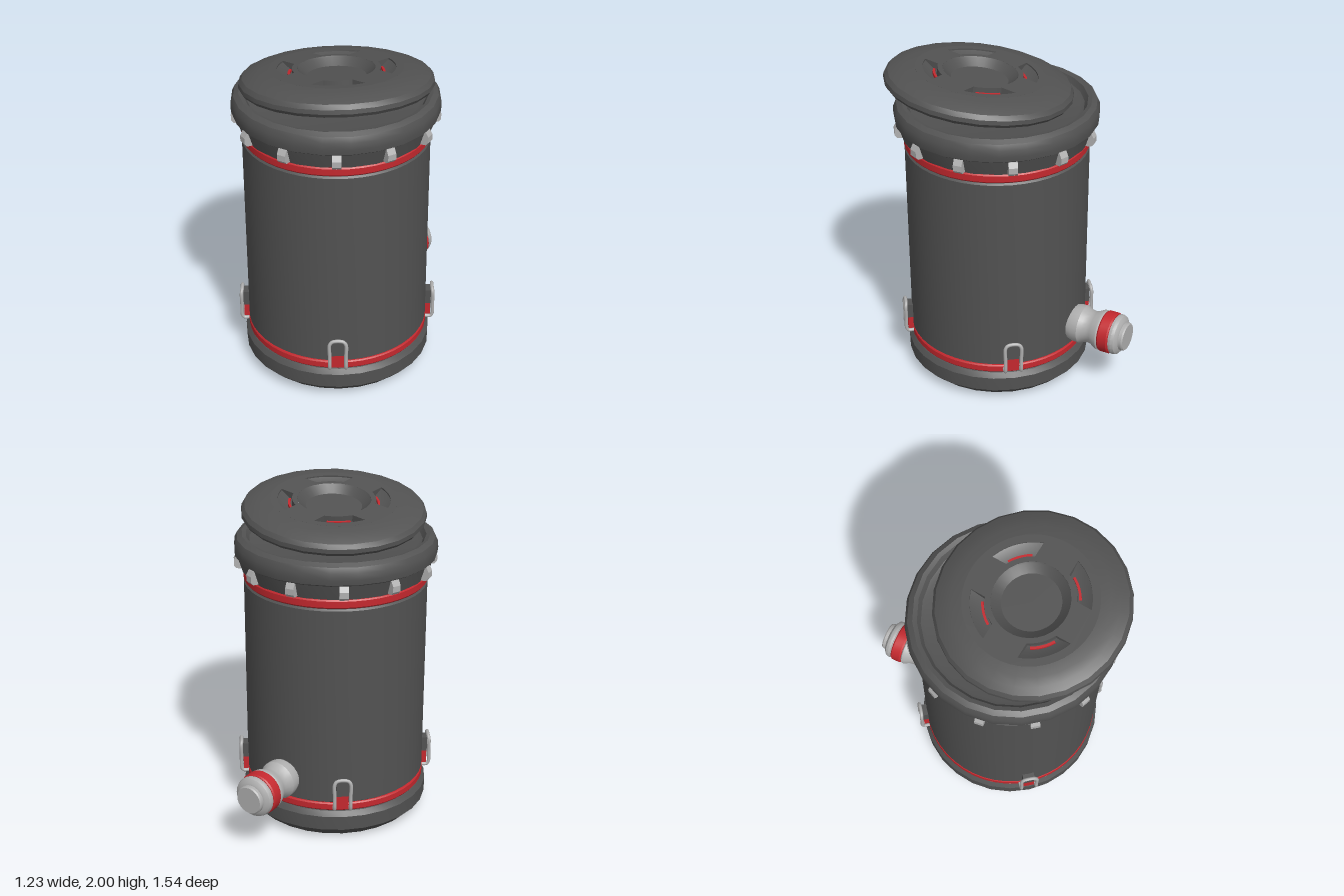
import * as THREE from 'three';
import { toCreasedNormals } from 'three/addons/utils/BufferGeometryUtils.js';

const material = (color) => new THREE.MeshStandardMaterial({ color });
const DEG = Math.PI / 180;

export function createModel() {
  const dark = material(0x525252);
  const red = material(0xc4282e);
  const silver = material(0xb0b0b0);

  const root = new THREE.Group();
  root.name = 'canister';

  const add = (parent, name, geometry, mat) => {
    const mesh = new THREE.Mesh(geometry, mat);
    mesh.name = name;
    parent.add(mesh);
    return mesh;
  };
  // Turned part from [radius, height] pairs, listed from the bottom up
  const turned = (pairs, segments, start = 0, length = Math.PI * 2) => toCreasedNormals(
    new THREE.LatheGeometry(pairs.map(([r, y]) => new THREE.Vector2(r, y)), segments, start, length), 0.5);
  // Group whose local +x points outward at an angle measured from +z towards +x
  const radial = (parent, name, degrees) => {
    const group = new THREE.Group();
    group.name = name;
    group.rotation.y = (degrees - 90) * DEG;
    parent.add(group);
    return group;
  };

  // Drum: everything that shares the upright axis
  const drum = new THREE.Group();
  drum.name = 'drum';
  drum.position.set(-0.01, 0, 0.13);
  root.add(drum);

  add(drum, 'base', turned([
    [0, 0], [0.495, 0], [0.515, 0.015], [0.57, 0.07], [0.572, 0.16], [0.55, 0.19], [0.538, 0.195],
  ], 28), dark);
  add(drum, 'body', turned([
    [0.538, 0.19], [0.538, 0.247], [0.55, 0.255], [0.55, 1.485], [0.54, 1.495], [0.54, 1.56],
  ], 48), dark);
  for (const [name, y0, y1] of [['lowerBand', 0.195, 0.245], ['upperBand', 1.5, 1.553]]) {
    add(drum, name, turned([
      [0.535, y0], [0.546, y0], [0.552, y0 + 0.008], [0.552, y1 - 0.008], [0.546, y1], [0.535, y1],
    ], 48), red);
  }
  add(drum, 'rim', turned([
    [0.53, 1.555], [0.56, 1.56], [0.588, 1.65], [0.603, 1.66], [0.607, 1.69], [0.605, 1.73], [0.59, 1.762],
    [0.56, 1.78], [0.535, 1.772], [0.515, 1.74], [0.49, 1.73], [0, 1.73],
  ], 24), dark);

  // Wedge cleats under the rim
  const wedge = new THREE.Shape([
    [0.545, 1.565], [0.592, 1.568], [0.607, 1.585], [0.607, 1.62], [0.59, 1.65], [0.545, 1.65],
  ].map(([x, y]) => new THREE.Vector2(x, y)));
  const cleat = new THREE.ExtrudeGeometry(wedge, { depth: 0.052, bevelEnabled: false }).translate(0, 0, -0.026);
  for (let i = 0; i < 12; i++) add(radial(drum, 'cleatMount', 7.5 + i * 30), 'cleat', cleat, silver);

  // Wire clips at the foot of the body
  const half = [[0.54, 0.222, 0.048], [0.582, 0.222, 0.048], [0.593, 0.238, 0.048], [0.593, 0.31, 0.048],
    [0.593, 0.395, 0.048], [0.59, 0.415, 0.032]];
  const path = [...half, ...half.map(([x, y, z]) => [x, y, -z]).reverse()];
  const wire = new THREE.TubeGeometry(
    new THREE.CatmullRomCurve3(path.map((p) => new THREE.Vector3(...p))), 60, 0.011, 8);
  for (let i = 0; i < 4; i++) {
    const clip = radial(drum, 'clip', 37.5 + i * 90);
    add(clip, 'clipWire', wire, silver);
    add(clip, 'clipTab', new THREE.BoxGeometry(0.04, 0.085, 0.074), red).position.set(0.56, 0.265, 0);
    add(clip, 'clipPlate', new THREE.BoxGeometry(0.045, 0.093, 0.074), dark).position.set(0.56, 0.354, 0);
  }

  // Spout on the back, turned along -z
  const spout = new THREE.Group();
  spout.name = 'spout';
  spout.position.set(0.005, 0.375, 0);
  root.add(spout);
  const pipe = (name, pairs, mat) => add(spout, name, turned(pairs, 24).rotateX(-Math.PI / 2), mat);
  pipe('spoutNeck', [
    [0.1, 0.36], [0.11, 0.41], [0.118, 0.44], [0.119, 0.48], [0.106, 0.505], [0.1, 0.535], [0.105, 0.56],
    [0.124, 0.595], [0.126, 0.61], [0.115, 0.62], [0.115, 0.7],
  ], silver);
  pipe('spoutRing', [[0.11, 0.618], [0.122, 0.618], [0.129, 0.627], [0.129, 0.682], [0.122, 0.69], [0.11, 0.69]], red);
  pipe('spoutCap', [
    [0.11, 0.695], [0.124, 0.697], [0.126, 0.71], [0.12, 0.728], [0.1, 0.743], [0.088, 0.746],
    [0.088, 0.765], [0.082, 0.773], [0, 0.773],
  ], silver);

  // Tilted lid resting on the rim
  const lid = new THREE.Group();
  lid.name = 'lid';
  lid.position.set(0.06, 1.83, 0.213);
  lid.quaternion.setFromUnitVectors(
    new THREE.Vector3(0, 1, 0), new THREE.Vector3(-0.09, 1, -0.09).normalize());
  root.add(lid);

  const top = 0.12;
  const deckR = 0.38;
  add(lid, 'lidShell', turned([
    [0, 0], [0.5, 0], [0.54, 0.01], [0.555, 0.03], [0.553, 0.055], [0.535, 0.08], [0.49, 0.1],
    [0.44, 0.113], [deckR, top],
  ], 24), dark);
  add(lid, 'lidDish', turned([[0.22, top], [0.212, 0.112], [0.168, 0.075], [0, 0.075]], 32), dark);

  // Flat deck with four vent openings
  const deck = new THREE.Shape().absarc(0, 0, deckR, 0, Math.PI * 2);
  deck.holes.push(new THREE.Path().absarc(0, 0, 0.22, 0, Math.PI * 2, true));
  for (let i = 0; i < 4; i++) {
    const a = (39 + i * 90) * DEG;
    const hole = new THREE.Path();
    hole.absarc(0, 0, 0.335, a - 26 * DEG, a + 26 * DEG, false);
    hole.absarc(0, 0, 0.25, a + 19 * DEG, a - 19 * DEG, true);
    hole.closePath();
    deck.holes.push(hole);

    // Sloping vent floor and the red slot at its foot
    const arc = [(39 + i * 90 - 27) * DEG, 54 * DEG];
    add(lid, 'ventFloor', turned([[0.245, top - 0.04], [0.275, top - 0.04], [0.335, top - 0.008]].reverse(), 12, ...arc), dark);
    add(lid, 'ventSlot', turned([
      [0.274, top - 0.045], [0.274, top - 0.025], [0.26, top - 0.025], [0.26, top - 0.045],
    ], 10, (39 + i * 90 - 15) * DEG, 30 * DEG), red);
  }
  add(lid, 'lidDeck', new THREE.ExtrudeGeometry(deck, { depth: 0.04, bevelEnabled: false, curveSegments: 24 })
    .rotateX(-Math.PI / 2).translate(0, top - 0.04, 0), dark);

  return root;
}
